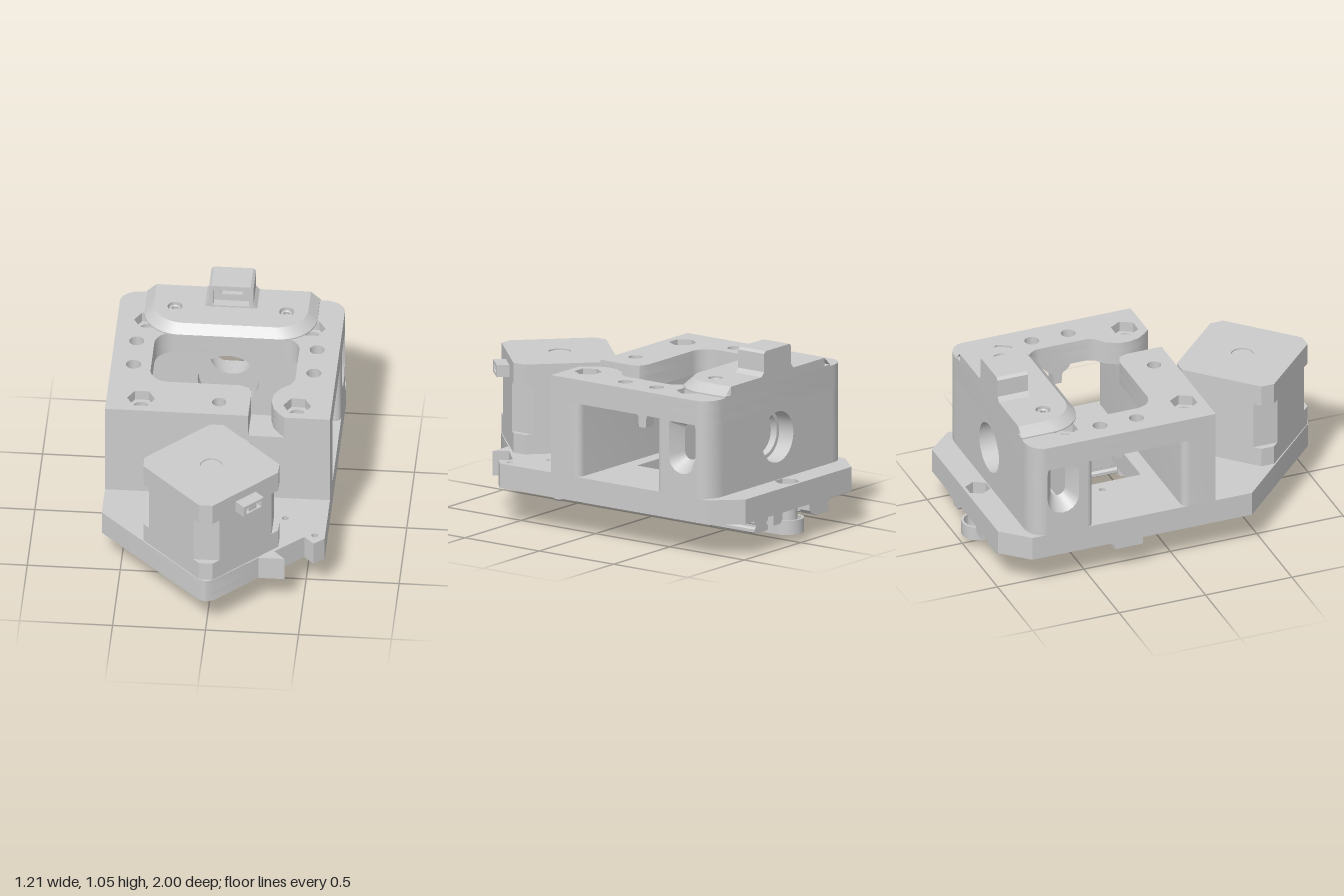
import * as THREE from 'three';
import { toCreasedNormals } from 'three/addons/utils/BufferGeometryUtils.js';

const mat = new THREE.MeshStandardMaterial({ color: 0xcccccc });
const thin = new THREE.MeshStandardMaterial({ color: 0xcccccc, side: THREE.DoubleSide });

// point-list helpers
const circle = (x, y, r, n = 32) => Array.from({ length: n }, (_, i) =>
  [x + r * Math.cos(i * 2 * Math.PI / n), y + r * Math.sin(i * 2 * Math.PI / n)]);
const arc = (x, y, r, a0, a1, n = 10, ry = r) => Array.from({ length: n + 1 }, (_, i) => {
  const a = (a0 + (a1 - a0) * i / n) * Math.PI / 180;
  return [x + r * Math.cos(a), y + ry * Math.sin(a)];
});
const rect = (x0, y0, x1, y1) => [[x0, y0], [x1, y0], [x1, y1], [x0, y1]];
const stadium = (x, y, r, h) => [...arc(x, y + h, r, 0, 180), ...arc(x, y - h, r, 180, 360)];
const mirror = (pts, s) => pts.map(([a, b]) => [a * s, b]);

export function createModel() {
  const model = new THREE.Group();
  const add = (name, geo, material = mat) => {
    const m = new THREE.Mesh(geo, material);
    m.name = name;
    model.add(m);
    return m;
  };
  // outlines run counter-clockwise and holes clockwise, so every wall faces outward
  const wound = (pts, ccw) => {
    const v = pts.map(([a, b]) => new THREE.Vector2(a, b));
    return THREE.ShapeUtils.isClockWise(v) === ccw ? v.reverse() : v;
  };
  const extrude = (pts, holes, depth) => {
    const s = new THREE.Shape(wound(pts, true));
    s.holes = holes.map((h) => new THREE.Path(wound(h, false)));
    return toCreasedNormals(new THREE.ExtrudeGeometry(s, { depth, bevelEnabled: false }), 0.5);
  };
  const flipZ = (l) => l.map(([a, b]) => [a, -b]);
  // horizontal slab from [x, z] points
  const slab = (name, pts, y0, y1, holes = []) => add(name,
    extrude(flipZ(pts), holes.map(flipZ), y1 - y0).rotateX(-Math.PI / 2).translate(0, y0, 0));
  // wall facing z from [x, y] points
  const wall = (name, pts, z0, z1, holes = []) => add(name, extrude(pts, holes, z1 - z0).translate(0, 0, z0));
  // wall facing x from [z, y] points
  const sideWall = (name, pts, x0, x1, holes = []) => add(name,
    extrude(mirror(pts, -1), holes.map((h) => mirror(h, -1)), x1 - x0).rotateY(Math.PI / 2).translate(x0, 0, 0));
  const cyl = (name, r, x, z, y0, y1, r2 = r) => add(name,
    new THREE.CylinderGeometry(r, r2, y1 - y0, 32).translate(x, (y0 + y1) / 2, z));
  // open strip joining two contours of [x, y, z]
  const strip = (name, a, b, closed) => {
    const n = a.length, idx = [];
    for (let i = 0; i < (closed ? n : n - 1); i++) {
      const j = (i + 1) % n;
      idx.push(i, j, n + i, j, n + j, n + i);
    }
    const g = new THREE.BufferGeometry();
    g.setAttribute('position', new THREE.Float32BufferAttribute([...a, ...b].flat(), 3));
    g.setIndex(idx);
    return add(name, toCreasedNormals(g, 0.5), thin);
  };

  // base plate: counterbored lower layer, drilled upper layer
  const outline = [[-0.605, 0.43], [-0.605, -0.84], [-0.47, -0.985], [0.47, -0.985], [0.605, -0.84],
    [0.605, 0.565], [0.55, 0.615], [0.495, 0.56], [0.345, 0.7], [0.405, 0.765], [0.265, 0.765],
    [0.04, 0.985], [0, 1], [-0.04, 0.985]];
  const bolts = [[0.42, 0.11], [-0.42, 0.11], [0.44, -0.59], [-0.44, -0.59]];
  const pins = [[0.27, -0.3], [-0.27, -0.3], [0.27, 0.235], [-0.27, 0.235], [0.38, 0.4], [0.55, 0.54]]
    .map(([x, z]) => circle(x, z, 0.018, 16));
  const slot = rect(-0.2, -0.48, 0.2, -0.05);
  const small = [[0, 0.11], [0, -0.91]].map(([x, z]) => circle(x, z, 0.038));
  slab('basePlateLower', outline, 0.19, 0.25,
    [slot, ...pins, ...small, ...bolts.map(([x, z]) => stadium(x, z, 0.07, 0.03)), circle(0, 0.62, 0.13)]);
  slab('basePlateUpper', outline, 0.25, 0.325,
    [slot, ...pins, small[0], circle(0, -0.91, 0.068, 6), ...bolts.map(([x, z]) => circle(x, z, 0.045))]);

  // housing roof: rounded opening with a channel running out of the front
  const corner = arc(0.49, -0.755, 0.115, 0, 90, 8, -0.09);
  const roof = [[0.605, 0.22], ...corner, ...mirror(corner, -1).reverse(), [-0.605, 0.22],
    [0.165, 0.22], [0.165, 0.02], [0.15, -0.03], [0.1, -0.05],
    ...arc(-0.29, -0.15, 0.1, 90, 180), ...arc(-0.29, -0.39, 0.1, 180, 270),
    ...arc(0.29, -0.39, 0.1, 270, 360),
    [0.39, -0.12], [0.37, -0.08], [0.32, -0.04], [0.285, 0.02], [0.28, 0.08], [0.295, 0.14], [0.33, 0.19], [0.36, 0.22]];
  slab('roofLower', roof, 0.73, 0.805, [...bolts.map(([x, z]) => circle(x, z, 0.045)), small[0]]);
  slab('roofUpper', roof, 0.805, 0.862, [...bolts.map(([x, z]) => circle(x, z, 0.075, 6)), small[0],
    ...[-1, 1].flatMap((s) => [-0.4, -0.19].map((z) => circle(s * 0.485, z, 0.04)))]);

  // housing front block with rounded inner edges, and its screws
  const edge = arc(0.565, 0.07, 0.04, 0, -90, 6);
  slab('frontBlock', [[0.605, 0.22], ...edge, ...mirror(edge, -1).reverse(), [-0.605, 0.22]], 0.325, 0.73,
    [...bolts.slice(0, 2).map(([x, z]) => circle(x, z, 0.045)), small[0]]);
  for (const x of [-0.14, 0.14]) for (const y of [0.44, 0.66]) {
    add('frontScrew', new THREE.TorusGeometry(0.034, 0.012, 8, 24).scale(1, 1, 0.3).translate(x, y, 0.22));
  }

  // hollow rear block with bore, flared side ports and rounded corners
  wall('rearWall', rect(-0.49, 0.325, 0.49, 0.73), -0.845, -0.72, [circle(0, 0.56, 0.14, 40)]);
  wall('rearBoreLip', circle(0, 0.56, 0.15, 40), -0.75, -0.71, [circle(0, 0.56, 0.118, 40)]);
  wall('innerWall', rect(-0.5, 0.325, 0.5, 0.73), -0.55, -0.49, [circle(0, 0.56, 0.165, 40)]);
  const port = stadium(-0.662, 0.615, 0.09, 0.08), portIn = stadium(-0.66, 0.61, 0.042, 0.06);
  const portCut = port.map(([z, y]) => [z, Math.min(y, 0.725)]);
  for (const s of [-1, 1]) {
    const [x0, x1] = s > 0 ? [0.5, 0.605] : [-0.605, -0.5];
    sideWall('rearSideWall', rect(-0.755, 0.325, -0.52, 0.73), x0, x1, [portCut]);
    strip('sidePortFlare', portCut.map(([z, y]) => [s * 0.605, y, z]), portIn.map(([z, y]) => [s * 0.52, y, z]), true);
    slab('rearCorner', mirror([...corner, [0.49, -0.755]], s), 0.325, 0.73);
    slab('windowEdge', mirror([[0.5, -0.52], [0.5, -0.49], ...arc(0.575, -0.52, 0.03, 90, 0, 6)], s), 0.325, 0.73);
    // hook under the roof
    sideWall('roofHook', [[-0.215, 0.73], [-0.22, 0.71], [-0.26, 0.68], [-0.265, 0.62], [-0.31, 0.62],
      [-0.315, 0.68], [-0.355, 0.71], [-0.36, 0.73]], s * 0.43 - 0.035, s * 0.43 + 0.035);
  }

  // clamp plate with sloping rim
  const dShape = (w, zf, r) => [[-w, -0.845], ...arc(-w + r, zf - r, r, 180, 90), ...arc(w - r, zf - r, r, 90, 0), [w, -0.845]];
  const rim = dShape(0.465, -0.465, 0.2), top = dShape(0.415, -0.51, 0.17);
  slab('clampPlateFoot', rim, 0.862, 0.87);
  slab('clampPlateTop', top, 0.87, 0.916, [-0.3, 0.3].map((x) => circle(x, -0.655, 0.04)));
  strip('clampPlateRim', rim.map(([x, z]) => [x, 0.87, z]), top.map(([x, z]) => [x, 0.916, z]));
  for (const x of [-0.3, 0.3]) {
    add('clampScrew', new THREE.TorusGeometry(0.024, 0.009, 8, 20).rotateX(Math.PI / 2).translate(x, 0.9, -0.655));
  }

  // tower on the clamp plate with recessed slotted face
  const tower = [[-0.14, 0.916], [0.14, 0.916], [0.12, 0.94], [0.12, 1.04], [0.105, 1.053], [-0.105, 1.053], [-0.12, 1.04], [-0.12, 0.94]];
  const lens = [...arc(0.045, 0.985, 0.02, -90, 90), ...arc(-0.045, 0.985, 0.02, 90, 270)];
  wall('towerBack', tower, -0.845, -0.77);
  wall('towerPanel', tower, -0.77, -0.72, [lens]);
  wall('towerFrame', tower, -0.72, -0.67, [rect(-0.095, 0.925, 0.095, 1.025)]);

  // motor turned by 45 degrees: end caps and slimmer middle
  const motor = (c) => [[0.4 - c, c], [c, 0.4 - c], [-c, 0.4 - c], [c - 0.4, c], [c - 0.4, -c], [-c, c - 0.4], [c, c - 0.4], [0.4 - c, -c]]
    .map(([x, z]) => [x, z + 0.62]);
  slab('motorLowerCap', motor(0.037), 0.325, 0.433);
  slab('motorBody', motor(0.07), 0.433, 0.7);
  slab('motorUpperCap', motor(0.037), 0.7, 0.812);
  slab('motorLid', motor(0.037), 0.812, 0.82, [circle(0, 0.62, 0.06)]);
  const plug = add('motorConnector', extrude(rect(-0.07, -0.033, 0.07, 0.033), [rect(-0.052, -0.02, 0.052, 0.02)], 0.07));
  const plugCore = add('motorConnectorCore', new THREE.BoxGeometry(0.05, 0.064, 0.06).translate(0, 0, 0.03));
  for (const p of [plug, plugCore]) {
    p.position.set(0.2, 0.737, 0.818);
    p.rotation.y = Math.PI / 4;
  }

  // shaft, pulley, hollow idler and belt
  cyl('motorShaft', 0.033, 0, 0.62, 0.01, 0.33);
  cyl('shaftTip', 0.033, 0, 0.62, 0, 0.01, 0.025);
  cyl('pulley', 0.075, 0, 0.62, 0.05, 0.129);
  slab('idlerSleeve', circle(0, -0.91, 0.055), 0.055, 0.19, [small[1]]);
  const loop = (r) => [...arc(0, 0.62, r, 0, 180, 16), ...arc(0, -0.91, r, 180, 360, 16)];
  slab('belt', loop(0.09), 0.05, 0.129, [loop(0.076)]);

  // guide rails with grooved section
  const half = [[0.05, 0.101], [0.06, 0.109], [0.06, 0.126], [0.048, 0.136], [0.048, 0.15], [0.06, 0.158], [0.06, 0.192]];
  const rail = [...half, ...mirror(half, -1).reverse()];
  for (const s of [-1, 1]) {
    wall('guideRail', rail.map(([x, y]) => [x + s * 0.27, y]), -0.94, 0.345);
    wall('railEndBlock', mirror([[0.12, 0.192], [0.12, 0.147], [0.14, 0.127], [0.2, 0.127], [0.2, 0.192]], s), -0.97, -0.9);
  }

  // screw heads and lugs under the base
  const heads = [[0.16, -0.82], [0.16, -0.53], [0.16, 0], [0.16, 0.27], [-0.39, -0.77], [-0.39, -0.36], [-0.39, 0.24]];
  for (const [x, z] of heads) cyl('undersideScrew', 0.037, x, z, 0.13, 0.192);
  wall('edgeLug', [[-0.605, 0.192], [-0.605, 0.15], [-0.55, 0.15], [-0.5, 0.192]], -0.36, -0.2);
  sideWall('frontWedge', [[0.49, 0.192], [0.41, 0.138], [0.365, 0.138], [0.365, 0.192]], -0.07, 0.07);
  return model;
}
